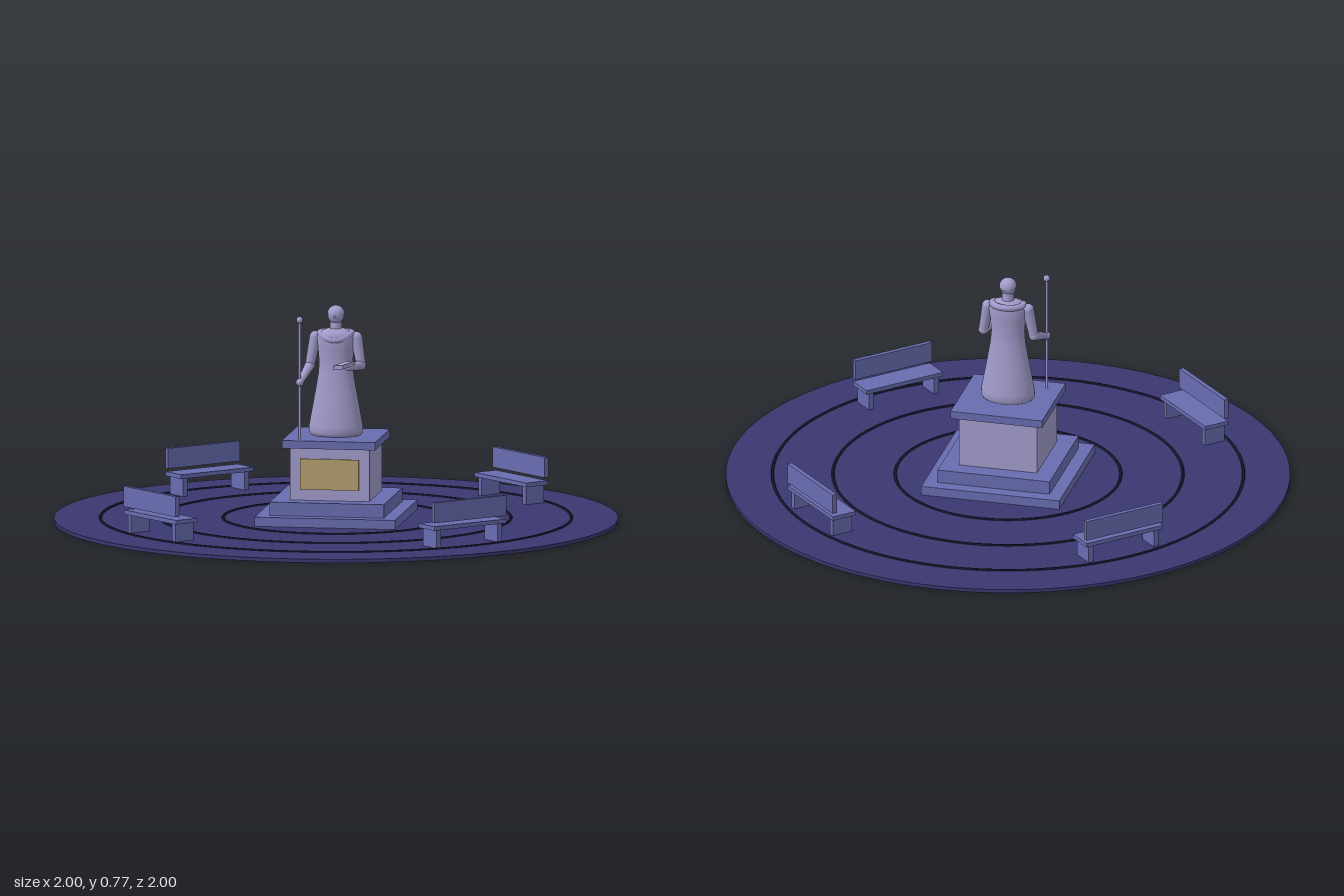
import * as THREE from 'three';

const mat = (name, color, side = THREE.FrontSide) => {
  const m = new THREE.MeshStandardMaterial({ color, side });
  m.name = name;
  return m;
};

export function createModel() {
  const paving = mat('indigo paving', 0x3a3770);
  const groove = mat('dark ring', 0x15142c);
  const trim = mat('blue stone', 0x686cb0);
  const stone = mat('pale lilac stone', 0xa09bca, THREE.DoubleSide);
  const brass = mat('dull brass', 0xb5a070);

  const model = new THREE.Group();
  model.name = 'statueMonument';

  const add = (parent, name, geometry, material, x = 0, y = 0, z = 0) => {
    const mesh = new THREE.Mesh(geometry, material);
    mesh.name = name;
    mesh.position.set(x, y, z);
    parent.add(mesh);
    return mesh;
  };
  const box = (parent, name, material, w, y0, y1, d, x = 0, z = 0) =>
    add(parent, name, new THREE.BoxGeometry(w, y1 - y0, d), material, x, (y0 + y1) / 2, z);

  // Round plaza with inlaid rings
  add(model, 'plaza', new THREE.CylinderGeometry(1, 1, 0.013, 96), paving, 0, 0.0065, 0);
  for (const r of [0.4, 0.62, 0.835]) {
    const ring = add(model, 'pavingRing', new THREE.TorusGeometry(r, 0.0055, 6, 96), groove, 0, 0.013, 0);
    ring.rotation.x = Math.PI / 2;
  }

  // Stepped pedestal
  box(model, 'lowerStep', trim, 0.505, 0.001, 0.046, 0.505);
  box(model, 'upperStep', trim, 0.41, 0.046, 0.094, 0.41);
  box(model, 'pedestalBlock', stone, 0.285, 0.094, 0.282, 0.285);
  box(model, 'pedestalCap', trim, 0.335, 0.282, 0.31, 0.335);
  box(model, 'plaque', brass, 0.21, 0.133, 0.243, 0.008, 0, 0.1445);

  // Four benches facing the centre
  for (let i = 0; i < 4; i++) {
    const bench = new THREE.Group();
    bench.name = 'bench';
    const a = Math.PI / 4 + i * Math.PI / 2;
    bench.position.set(Math.sin(a) * 0.766, 0, Math.cos(a) * 0.766);
    bench.rotation.y = a;
    box(bench, 'benchSeat', trim, 0.315, 0.078, 0.093, 0.095);
    box(bench, 'benchBack', trim, 0.315, 0.105, 0.178, 0.017, 0, 0.04);
    for (const s of [-1, 1]) box(bench, 'benchLeg', trim, 0.02, 0.001, 0.078, 0.08, s * 0.134);
    model.add(bench);
  }

  // Statue
  const statue = new THREE.Group();
  statue.name = 'statue';
  model.add(statue);
  const ball = (name, r, x, y, z) =>
    add(statue, name, new THREE.SphereGeometry(r, 20, 14), stone, x, y, z);
  const limb = (name, from, to, r0, r1) => {
    const a = new THREE.Vector3(...from), b = new THREE.Vector3(...to);
    const dir = b.clone().sub(a);
    const mid = a.clone().add(b).multiplyScalar(0.5);
    const mesh = add(statue, name, new THREE.CylinderGeometry(r1, r0, dir.length(), 16), stone, mid.x, mid.y, mid.z);
    mesh.quaternion.setFromUnitVectors(new THREE.Vector3(0, 1, 0), dir.normalize());
  };

  // Long robe
  const profile = [[0, 0.31], [0.088, 0.31], [0.097, 0.322], [0.096, 0.345], [0.086, 0.4], [0.073, 0.47],
    [0.063, 0.53], [0.06, 0.57], [0.064, 0.62], [0.07, 0.66], [0.062, 0.68], [0.03, 0.692], [0, 0.694]];
  const robe = add(statue, 'robe',
    new THREE.LatheGeometry(profile.map(p => new THREE.Vector2(...p)), 40), stone);
  robe.scale.z = 0.74;

  // Draped collar, lower at the front
  const collarPoints = [];
  for (let i = 0; i < 16; i++) {
    const t = i / 16 * Math.PI * 2;
    collarPoints.push(new THREE.Vector3(
      Math.sin(t) * 0.056, 0.676 - 0.022 * Math.max(0, Math.cos(t)) ** 2, Math.cos(t) * 0.043));
  }
  add(statue, 'collar', new THREE.TubeGeometry(
    new THREE.CatmullRomCurve3(collarPoints, true), 48, 0.012, 10, true), stone);

  // Neck, head and hair
  add(statue, 'neck', new THREE.CylinderGeometry(0.02, 0.023, 0.04, 20), stone, 0, 0.702, 0);
  ball('head', 0.029, 0, 0.74, 0.003).scale.y = 1.12;
  const hair = add(statue, 'hair',
    new THREE.SphereGeometry(0.031, 24, 10, 0, Math.PI * 2, 0, Math.PI * 0.5), stone, 0, 0.743, 0);
  hair.rotation.x = -0.3;
  ball('nose', 0.005, 0, 0.738, 0.032);

  // Right arm holding the staff
  const rElbow = [-0.093, 0.558, 0.005], rHand = [-0.111, 0.512, 0.115];
  limb('rightUpperArm', [-0.074, 0.66, 0], rElbow, 0.021, 0.017);
  limb('rightForearm', rElbow, rHand, 0.018, 0.011);
  ball('rightShoulder', 0.021, -0.074, 0.66, 0);
  ball('rightElbow', 0.018, ...rElbow);
  ball('rightHand', 0.014, ...rHand).scale.z = 1.5;

  // Left arm carrying a book
  const lElbow = [0.091, 0.562, 0.005], lHand = [0.06, 0.566, 0.09];
  limb('leftUpperArm', [0.074, 0.66, 0], lElbow, 0.021, 0.017);
  limb('leftForearm', lElbow, lHand, 0.018, 0.012);
  ball('leftShoulder', 0.021, 0.074, 0.66, 0);
  ball('leftElbow', 0.018, ...lElbow);
  ball('leftHand', 0.013, ...lHand);
  const book = add(statue, 'book', new THREE.BoxGeometry(0.045, 0.014, 0.07), stone, 0.045, 0.574, 0.1);
  book.rotation.set(0.12, -0.5, 0.2);

  // Staff
  add(statue, 'staff', new THREE.CylinderGeometry(0.005, 0.005, 0.42, 12), stone, -0.112, 0.52, 0.115);
  ball('staffKnob', 0.012, -0.112, 0.735, 0.115);

  return model;
}
